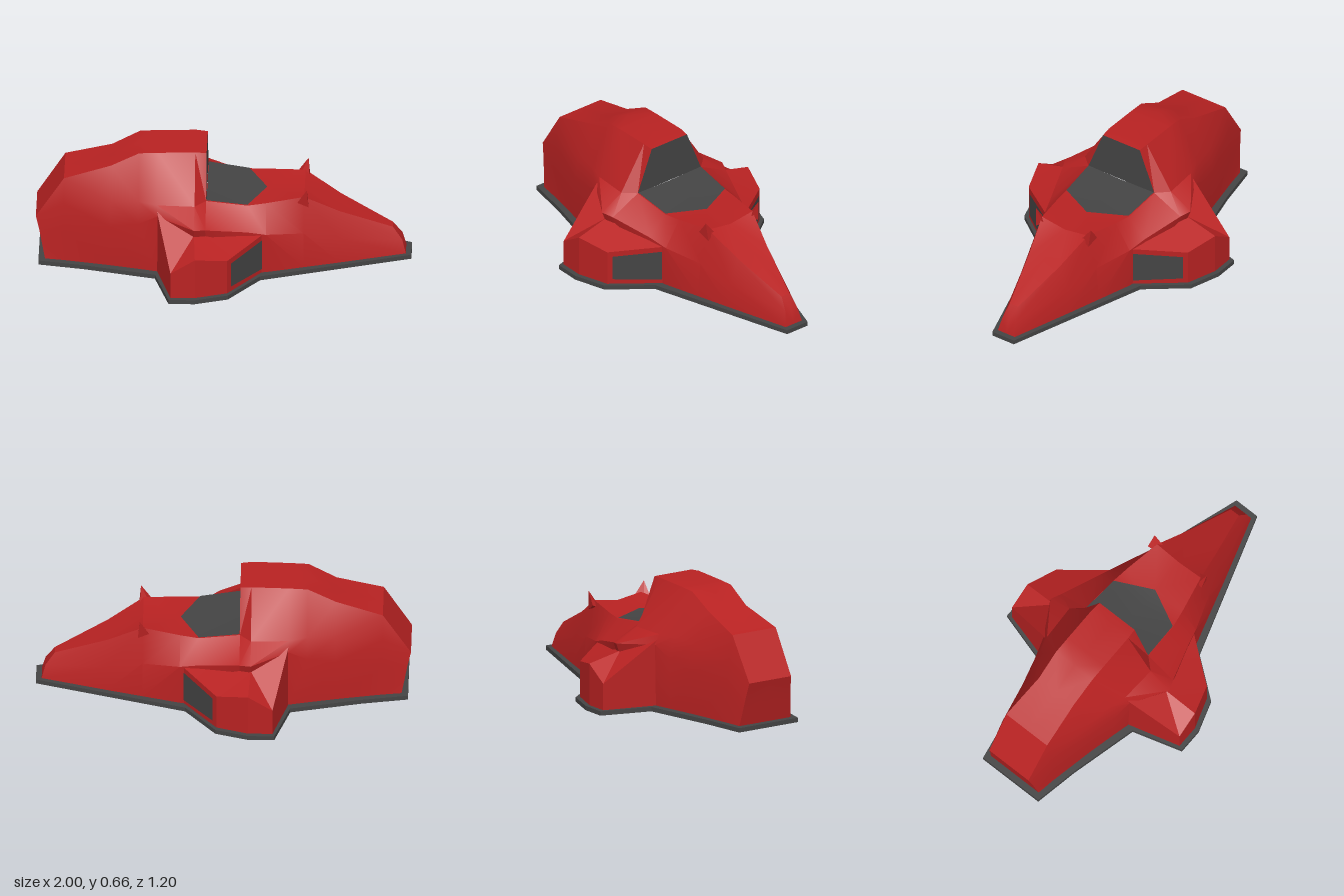
import * as THREE from 'three';
import { toCreasedNormals } from 'three/addons/utils/BufferGeometryUtils.js';
import { ConvexGeometry } from 'three/addons/geometries/ConvexGeometry.js';

const BASE = 0.024;

// Polygons given for the +z half, fanned into triangles and mirrored to -z
function mirrored(polys, crease = 0.45) {
  const out = [];
  for (const p of polys) {
    for (let i = 1; i < p.length - 1; i++) {
      const tri = [p[0], p[i], p[i + 1]];
      const v = tri.map(q => new THREE.Vector3(...q));
      const area = v[1].clone().sub(v[0]).cross(v[2].clone().sub(v[0])).length();
      if (area < 1e-6) continue;
      for (const q of tri) out.push(...q);
      for (const q of tri.slice().reverse()) out.push(q[0], q[1], -q[2]);
    }
  }
  const g = new THREE.BufferGeometry();
  g.setAttribute('position', new THREE.Float32BufferAttribute(out, 3));
  return toCreasedNormals(g, crease);
}

// Half sections (centre line to base), joined from rear to front
function loft(rows) {
  const polys = [];
  for (let i = 0; i < rows.length - 1; i++) {
    for (let k = 0; k < rows[i].length - 1; k++) {
      polys.push([rows[i][k], rows[i][k + 1], rows[i + 1][k + 1], rows[i + 1][k]]);
    }
  }
  return polys;
}

// Closes a section towards the centre line
function cap(points, front) {
  const polys = [];
  for (let k = 0; k < points.length - 1; k++) {
    const [a, b] = [points[k], points[k + 1]];
    const quad = [[a[0], a[1], 0], [b[0], b[1], 0], b, a];
    polys.push(front ? quad.reverse() : quad);
  }
  return polys;
}

export function createModel() {
  const group = new THREE.Group();
  const red = new THREE.MeshStandardMaterial({ color: 0xb92222 });
  red.name = 'red paint';
  const dark = new THREE.MeshStandardMaterial({ color: 0x444444 });
  dark.name = 'dark grey';
  const add = (name, geometry, material) => {
    const mesh = new THREE.Mesh(geometry, material);
    mesh.name = name;
    group.add(mesh);
  };

  // Base plate
  const half = [[-0.985, 0.19], [-0.74, 0.235], [-0.36, 0.328], [-0.28, 0.602],
    [-0.14, 0.602], [0.035, 0.545], [0.2, 0.33], [1, 0.07]];
  const outline = [...half, ...half.map(([x, z]) => [x, -z]).reverse()];
  const plate = new THREE.ExtrudeGeometry(
    new THREE.Shape(outline.map(p => new THREE.Vector2(...p))),
    { depth: BASE, bevelEnabled: false });
  plate.rotateX(-Math.PI / 2);
  add('basePlate', plate, dark);

  // Rear hull: x, roof y, roof z, shoulder y, z, ridge y, z, base z
  const tail = [[-1, 0.265, 0], [-1, 0.265, 0.135], [-0.98, 0.18, 0.145],
    [-0.965, 0.1, 0.155], [-0.95, BASE, 0.165]];
  const rear = [tail, ...[
    [-0.85, 0.5, 0.14, 0.36, 0.165, 0.2, 0.18, 0.18],
    [-0.6, 0.57, 0.12, 0.4, 0.21, 0.26, 0.235, 0.23],
    [-0.45, 0.65, 0.125, 0.42, 0.24, 0.3, 0.27, 0.265],
    [-0.35, 0.655, 0.125, 0.415, 0.27, 0.36, 0.295, 0.29],
    [-0.15, 0.66, 0.125, 0.415, 0.28, 0.34, 0.41, 0.29],
    [-0.09, 0.655, 0.12, 0.415, 0.215, 0.33, 0.385, 0.29],
  ].map(([x, ty, tz, sy, sz, ry, rz, bz]) =>
    [[x, ty, 0], [x, ty, tz], [x, sy, sz], [x, ry, rz], [x, BASE, bz]])];
  add('rearHull', mirrored([...loft(rear), ...cap(tail.slice(1), false)]), red);

  // Upright screen behind the cockpit
  add('rearScreen', mirrored(cap(rear[rear.length - 1].slice(1, 3), true)), dark);

  // Front hull: x, centre y, rim y, rim z, ridge y, z, base z
  const nose = [[0.9, 0.17, 0], [0.9, 0.17, 0.027], [0.95, 0.1, 0.04], [0.97, BASE, 0.055]];
  const front = [...[
    [-0.09, 0.41, 0.415, 0.215, 0.33, 0.385, 0.29],
    [0.13, 0.383, 0.385, 0.205, 0.28, 0.31, 0.295],
    [0.23, 0.385, 0.393, 0.19, 0.25, 0.28, 0.282],
    [0.43, 0.39, 0.412, 0.15, 0.22, 0.205, 0.222],
    [0.62, 0.305, 0.3, 0.1, 0.16, 0.15, 0.165],
  ].map(([x, cy, ty, tz, ry, rz, bz]) =>
    [[x, cy, 0], [x, ty, tz], [x, ry, rz], [x, BASE, bz]]), nose];
  add('frontHull', mirrored([...loft(front), ...cap(nose.slice(1), true)]), red);

  // Cockpit glass laid on the deck
  add('cockpitGlass', mirrored([
    [[-0.088, 0.414, 0], [-0.088, 0.419, 0.213], [0.13, 0.389, 0.203], [0.13, 0.387, 0]],
    [[0.13, 0.387, 0], [0.13, 0.389, 0.203], [0.23, 0.389, 0]],
  ]), dark);

  // Side pods: wall corners from rear to front, roof rising to the hull
  const wall = [[-0.35, 0.385, 0.285], [-0.27, 0.17, 0.577], [-0.14, 0.253, 0.577],
    [0.03, 0.22, 0.52], [0.212, 0.25, 0.28]];
  const inner = [-0.15, 0.297, 0.385];
  const pod = [];
  for (let i = 0; i < wall.length - 1; i++) {
    const [a, b] = [wall[i], wall[i + 1]];
    pod.push([a, [a[0], BASE, a[2]], [b[0], BASE, b[2]], b], [inner, a, b]);
  }
  add('sidePods', mirrored(pod, 0.3), red);

  // Intake panels on the forward pod faces
  const [p, q] = [wall[3], wall[4]];
  const onFace = (t, y) => [
    p[0] + (q[0] - p[0]) * t + 0.004, y, p[2] + (q[2] - p[2]) * t + 0.003];
  add('intakePanels', mirrored([
    [onFace(0.09, 0.195), onFace(0.09, 0.055), onFace(0.97, 0.048), onFace(0.97, 0.222)],
  ]), dark);

  // Small pointed fins beside the deck
  for (const s of [1, -1]) {
    const pts = [[0.445, 0.468, 0.18], [0.395, 0.395, 0.185], [0.45, 0.395, 0.125],
      [0.455, 0.36, 0.17], [0.4, 0.38, 0.15]];
    add(s > 0 ? 'leftFin' : 'rightFin',
      new ConvexGeometry(pts.map(([x, y, z]) => new THREE.Vector3(x, y, z * s))), red);
  }

  group.position.x = -0.0;
  return group;
}
